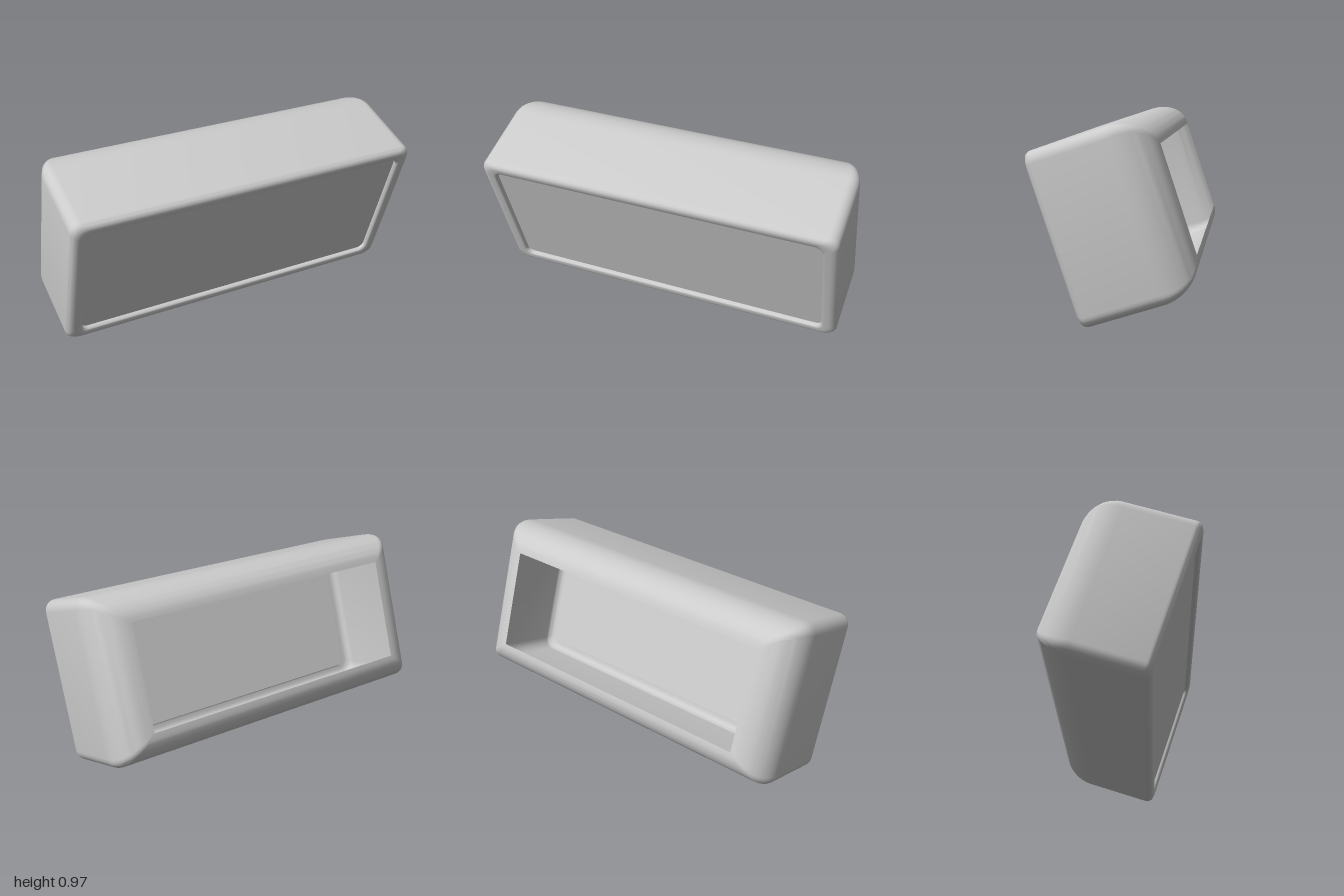
import * as THREE from 'three';
import { toCreasedNormals } from 'three/addons/utils/BufferGeometryUtils.js';

const HALF_W = 1, HALF_H = 0.44, CENTRE_Y = 0.0115, TILT = 0.32;
const FRONT = 0.284, BACK = -0.33;

// Rounded rectangle, counter-clockwise, inset by d, with corner radius r
function ring(d, r, steps = 6) {
  const w = HALF_W - d - r, h = HALF_H - d * 0.84 - r, pts = [];
  [[1, 1], [-1, 1], [-1, -1], [1, -1]].forEach(([sx, sy], q) => {
    for (let i = 0; i <= steps; i++) {
      const a = (q + i / steps) * Math.PI / 2;
      pts.push(new THREE.Vector2(sx * w + r * Math.cos(a), CENTRE_Y + sy * h + r * Math.sin(a)));
    }
  });
  return pts;
}

// Skin through rings given as [inset, z, corner radius], front to back
function loft(profile) {
  const pos = [], idx = [];
  let n = 0;
  profile.forEach(([d, z, r]) => {
    const pts = ring(d, r);
    n = pts.length;
    pts.forEach(p => pos.push(p.x, p.y, z));
  });
  for (let i = 0; i < profile.length - 1; i++) {
    for (let j = 0; j < n; j++) {
      const a = i * n + j, b = i * n + (j + 1) % n;
      idx.push(a, a + n, b, b, a + n, b + n);
    }
  }
  const g = new THREE.BufferGeometry();
  g.setAttribute('position', new THREE.Float32BufferAttribute(pos, 3));
  g.setIndex(idx);
  return toCreasedNormals(g, 0.7);
}

export function createModel() {
  const group = new THREE.Group();
  const mat = new THREE.MeshStandardMaterial({ color: 0xcccccc, side: THREE.DoubleSide });
  const tilted = new THREE.Group();
  tilted.name = 'tiltedHousing';
  tilted.rotation.x = TILT;
  tilted.position.y = 0.485;
  group.add(tilted);

  // Housing: recess wall, rounded rim, sides, broad back fillet, open back
  const panelZ = FRONT - 0.025;
  const profile = [[0.08, panelZ, 0.04], [0.08, FRONT - 0.015, 0.04]];
  for (let i = 1; i <= 4; i++) {
    const a = i / 4 * Math.PI / 2;
    profile.push([0.08 - 0.015 * (1 - Math.cos(a)), FRONT - 0.015 * (1 - Math.sin(a)), 0.045]);
  }
  for (let i = 0; i <= 7; i++) {
    const a = i / 7 * Math.PI / 2;
    profile.push([0.04 * (1 - Math.sin(a)), FRONT - 0.04 * (1 - Math.cos(a)), 0.06]);
  }
  const fillet = 0.21;
  for (let i = 0; i <= 14; i++) {
    const t = i / 14, a = t * Math.PI / 2;
    profile.push([0.19 * (1 - Math.cos(a)), BACK + fillet * (1 - Math.sin(a)), 0.06 - 0.056 * t]);
  }
  const housing = new THREE.Mesh(loft(profile), mat);
  housing.name = 'housing';

  // Flat recessed front panel
  const panel = new THREE.Mesh(new THREE.ShapeGeometry(new THREE.Shape(ring(0.08, 0.04))), mat);
  panel.name = 'frontPanel';
  panel.position.z = panelZ;

  tilted.add(housing, panel);
  return group;
}
